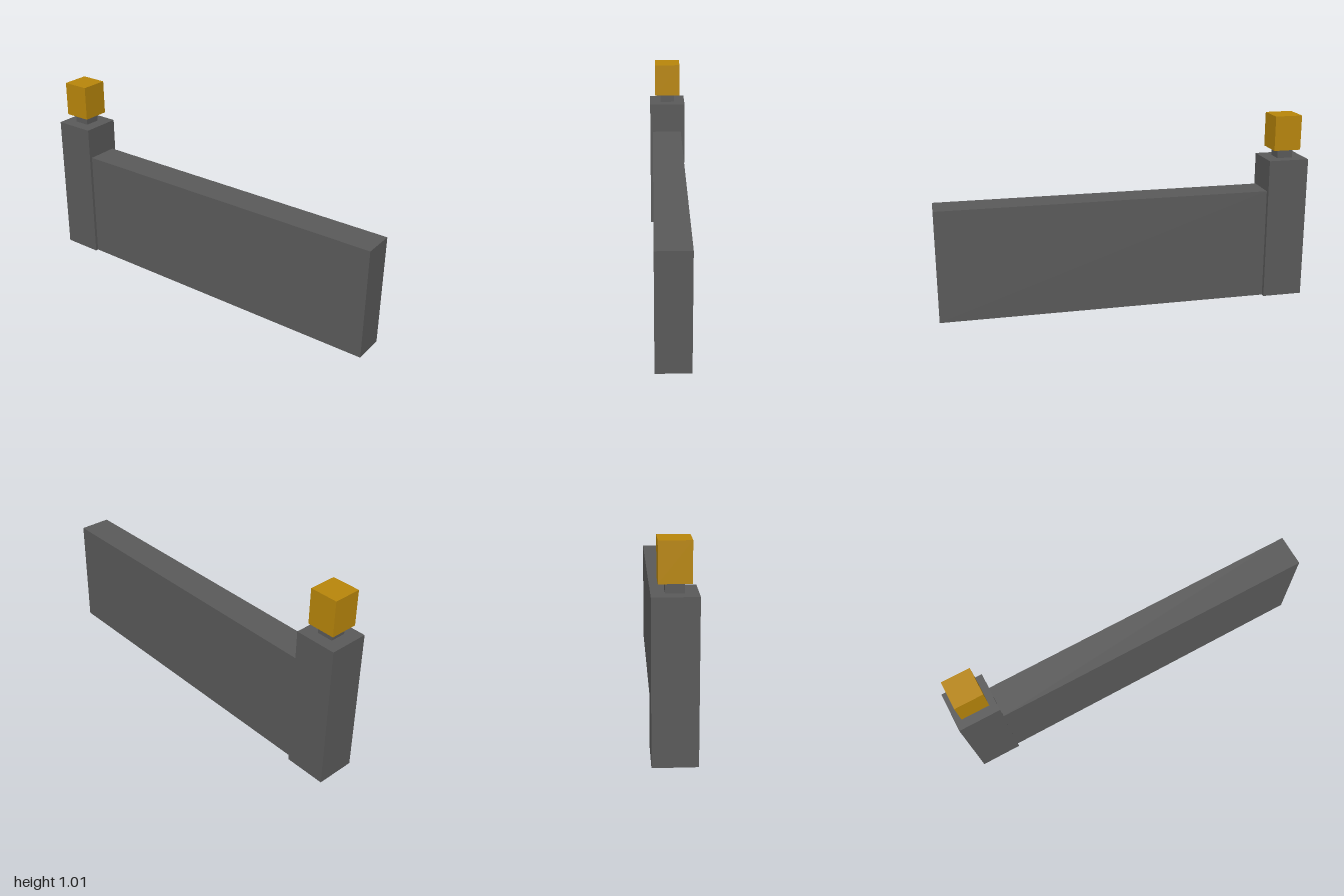
import * as THREE from 'three';

const stone = new THREE.MeshStandardMaterial({ color: 0x5a5a5a, side: THREE.DoubleSide });
stone.name = 'darkGreyStone';
const gold = new THREE.MeshStandardMaterial({ color: 0xb8860b });
gold.name = 'lampGold';

// Box given by its limits on each axis; openBottom drops the underside
function block(name, material, [x0, x1], [y0, y1], [z0, z1], openBottom = false) {
  const geometry = new THREE.BoxGeometry(x1 - x0, y1 - y0, z1 - z0);
  if (openBottom) {
    const index = Array.from(geometry.index.array);
    index.splice(18, 6); // the -y face
    geometry.setIndex(index);
    geometry.clearGroups();
  }
  const mesh = new THREE.Mesh(geometry, material);
  mesh.name = name;
  mesh.position.set((x0 + x1) / 2, (y0 + y1) / 2, (z0 + z1) / 2);
  return mesh;
}

export function createModel() {
  const model = new THREE.Group();
  model.name = 'wallWithLampPost';

  // Hollow wall and end pillar, open underneath
  model.add(block('wall', stone, [-0.78, 1], [0, 0.603], [-0.082, 0.089], true));
  model.add(block('pillar', stone, [-1, -0.78], [0, 0.775], [-0.105, 0.105], true));

  // Lamp on a short neck
  model.add(block('lampNeck', stone, [-0.933, -0.848], [0.775, 0.823], [-0.042, 0.042]));
  model.add(block('lamp', gold, [-0.964, -0.816], [0.823, 1.01], [-0.074, 0.074]));

  return model;
}
